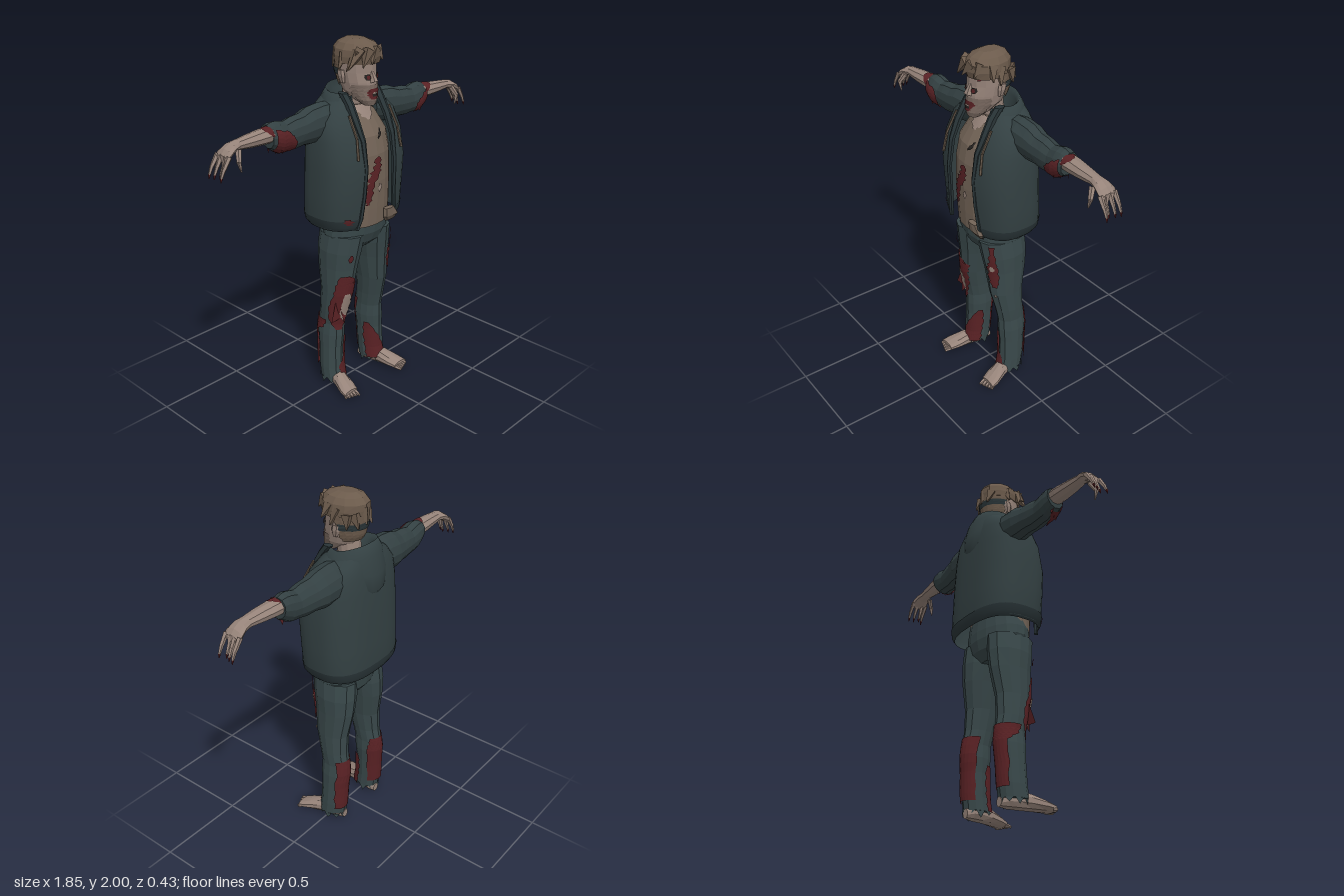
import * as THREE from 'three';

const mat = (name, color) => {
  const m = new THREE.MeshStandardMaterial({ color, side: THREE.DoubleSide });
  m.name = name;
  return m;
};

// Interpolates a list of cross-sections at position p
function sectionAt(secs, p) {
  for (let i = 0; i < secs.length - 1; i++) {
    const a = secs[i], b = secs[i + 1];
    if (p >= a[0] && p <= b[0]) {
      const k = (p - a[0]) / (b[0] - a[0]);
      return a.map((v, q) => v + (b[q] - v) * k);
    }
  }
  return p < secs[0][0] ? secs[0] : secs[secs.length - 1];
}

// Point on a section [position, centreU, centreV, radiusU, radiusV, exponent]
function pointAt([p, c, d, r, t, e = 1], a, axis, s, off = 0) {
  const pw = v => Math.sign(v) * Math.abs(v) ** e;
  const u = c + (r + off) * pw(Math.sin(a)), w = d + (t + off) * pw(Math.cos(a));
  if (axis === 'x') return [s * p, w, u];
  return axis === 'z' ? [s * u, w, p] : [s * u, p, w];
}

// Skins a grid of points
function grid(rows, closed, flip, flat) {
  const n = rows[0].length, idx = [];
  for (let i = 0; i < rows.length - 1; i++)
    for (let j = 0; j < (closed ? n : n - 1); j++) {
      const a = i * n + j, b = i * n + (j + 1) % n, c = b + n, d = a + n;
      idx.push(...(flip ? [a, c, b, a, d, c] : [a, b, c, a, c, d]));
    }
  let g = new THREE.BufferGeometry();
  g.setAttribute('position', new THREE.Float32BufferAttribute(rows.flat(2), 3));
  g.setIndex(idx);
  if (flat) g = g.toNonIndexed();
  g.computeVertexNormals();
  return g;
}

// Closed or front-opened (7th section value) body through cross-sections
function loft(secs, { axis = 'y', s = 1, n = 12, jitter = 0, flat = true, caps = true } = {}) {
  const open = secs[0].length > 6;
  const rows = secs.map((q, i) => {
    const a0 = open ? Math.asin((q[6] / q[3]) ** (1 / q[5])) : 0;
    return Array.from({ length: open ? n + 1 : n }, (_, j) =>
      pointAt(q, a0 + (2 * Math.PI - 2 * a0) * j / n, axis, s, jitter * Math.sin(i * 12.9 + j * 7.3)));
  });
  if (caps && !open) {
    const mid = q => Array.from({ length: n }, () => pointAt([q[0], q[1], q[2], 0, 0], 0, axis, s));
    rows.unshift(mid(secs[0]));
    rows.push(mid(secs[secs.length - 1]));
  }
  return grid(rows, !open, (axis === 'z') !== (s < 0), flat);
}

// Thin ragged patch following a loft; spans are [position, angle from, angle to]
function patch(secs, spans, { axis = 'y', s = 1, off = 0.007, ragged = 0.07 } = {}) {
  const rows = [], steps = (spans.length - 1) * 4;
  for (let i = 0; i <= steps; i++) {
    const [p, a0, a1] = sectionAt(spans, 0) && lerpSpan(spans, i / 4);
    const r = ragged * Math.sin(i * 2.3);
    rows.push(Array.from({ length: 9 }, (_, j) =>
      pointAt(sectionAt(secs, p), a0 + r + (a1 - a0 - r * 1.6) * j / 8, axis, s, off)));
  }
  return grid(rows, false, (axis === 'z') !== (s < 0), true);
}
function lerpSpan(spans, f) {
  const i = Math.min(Math.floor(f), spans.length - 2);
  return spans[i].map((v, q) => v + (spans[i + 1][q] - v) * (f - i));
}

// Tapered stick between two points
function stick(a, b, r0, r1, s = 1, sides = 5) {
  const A = new THREE.Vector3(s * a[0], a[1], a[2]), B = new THREE.Vector3(s * b[0], b[1], b[2]);
  const d = B.clone().sub(A), g = new THREE.CylinderGeometry(r1, r0, d.length(), sides).toNonIndexed();
  g.applyQuaternion(new THREE.Quaternion().setFromUnitVectors(new THREE.Vector3(0, 1, 0), d.normalize()));
  g.translate(...A.add(B).multiplyScalar(0.5).toArray());
  g.computeVertexNormals();
  return g;
}

export function createModel() {
  const model = new THREE.Group();
  model.name = 'raggedFigure';
  const skin = mat('skin', 0x97847a), hair = mat('hair', 0x6c5b4c), cloth = mat('jacketCloth', 0x334042),
    trim = mat('jacketTrim', 0x293437), denim = mat('denim', 0x39484a), blood = mat('blood', 0x592124),
    shirtM = mat('shirt', 0x736457), cord = mat('cord', 0x66584a), dark = mat('darkGap', 0x24211f),
    face = mat('stubble', 0x796960);
  const add = (name, geo, m) => {
    const mesh = new THREE.Mesh(geo, m);
    mesh.name = name;
    model.add(mesh);
  };
  const flap = (name, a, b, c, m) => add(name, grid([[a, b], [c, c]], false, false, true), m);

  // Shirt, neck and tears
  const shirt = [[1.0, 0, .015, .195, .145], [1.1, 0, .015, .2, .15], [1.25, 0, .015, .2, .155], [1.4, 0, .01, .2, .155],
    [1.5, 0, 0, .19, .145], [1.6, 0, -.02, .14, .105], [1.655, 0, -.02, .075, .075]];
  add('shirt', loft(shirt, { n: 20, jitter: .002 }), shirtM);
  add('neck', loft([[1.55, 0, -.02, .065, .07], [1.64, 0, -.015, .06, .065], [1.74, 0, .0, .06, .07]]), skin);
  add('neckline', patch(shirt, [[1.58, -.08, .08], [1.62, -.4, .4], [1.655, -.9, .9]]), skin);
  add('shirtStain', patch(shirt, [[1.13, -.42, -.3], [1.18, -.44, -.2], [1.24, -.4, -.15], [1.3, -.28, .06], [1.34, -.15, .1], [1.39, -.1, .08]]), blood);
  add('shirtTear', patch(shirt, [[1.48, .05, .09], [1.5, .1, .24], [1.53, .24, .28]], { ragged: .02 }), dark);
  add('shirtHole', patch(shirt, [[1.19, .02, .06], [1.22, -.02, .14], [1.24, .04, .08]], { ragged: .02 }), skin);
  add('shirtTail', loft([[.995, .11, .15, .03, .012], [1.03, .105, .168, .055, .018], [1.08, .085, .17, .035, .018]], { n: 8, jitter: .006 }), shirtM);

  // Jacket body, hem and zip edges
  const jacket = [[1.02, 0, -.015, .27, .185, .75, .15], [1.07, 0, -.015, .285, .195, .75, .13], [1.2, 0, -.008, .287, .198, .75, .115],
    [1.35, 0, 0, .287, .2, .75, .11], [1.5, 0, -.008, .278, .183, .75, .11], [1.6, 0, -.025, .255, .155, .75, .11],
    [1.66, 0, -.038, .2, .128, .75, .095], [1.71, 0, -.045, .13, .105, .75, .075]];
  add('jacketBody', loft(jacket, { n: 32, flat: false }), cloth);
  add('jacketHem', loft([[1.01, 0, -.015, .262, .182, .75, .15], [1.035, 0, -.015, .28, .196, .75, .14], [1.075, 0, -.015, .288, .199, .75, .13]], { n: 32, flat: false }), trim);
  add('jacketStain', patch(jacket, [[1.05, .55, .75], [1.085, .6, .8]], { s: -1 }), blood);
  for (const s of [1, -1]) {
    add('zipEdge', loft([[1.01, .145, .155, .012, .014], [1.07, .13, .168, .014, .014], [1.2, .115, .178, .014, .014], [1.35, .11, .186, .014, .014],
      [1.5, .112, .164, .018, .016], [1.6, .118, .118, .024, .02], [1.68, .115, .07, .026, .025], [1.73, .12, .03, .022, .03]], { s, n: 6 }), trim);
    add('drawstring', stick([.15, 1.63, .105], [.155, 1.52, .165], .007, .007, s), cord);
    add('drawstring', stick([.155, 1.52, .165], [.165, 1.41, .185], .007, .008, s), cord);
  }

  // Hood lying on the back: rows run from inner lining over the crest to the bottom fold
  const hoodRows = [[.10, .08, 1.62, 0], [.115, .095, 1.70, .01], [.14, .105, 1.725, .025], [.165, .135, 1.69, .0],
    [.18, .158, 1.66, -.07], [.165, .165, 1.63, -.13], [.13, .13, 1.62, -.165]].map(([rx, rz, y, dy]) =>
    Array.from({ length: 17 }, (_, j) => {
      const t = (j / 8 - 1) * 2.1, w = Math.max(0, Math.cos(t)) ** 1.3;
      return [rx * Math.sin(t), y + dy * w, -.04 - rz * Math.cos(t)];
    }));
  add('hood', grid(hoodRows, false, false, false), cloth);

  // Sleeves, forearms and hands
  const sleeve = [[.14, -.05, 1.595, .08, .085], [.22, -.05, 1.585, .088, .1], [.3, -.05, 1.578, .085, .098], [.36, -.045, 1.572, .078, .082],
    [.42, -.042, 1.568, .072, .082], [.47, -.04, 1.565, .066, .072], [.52, -.037, 1.573, .068, .078], [.55, -.037, 1.582, .064, .07], [.58, -.037, 1.588, .055, .056]];
  const arm = [[.54, -.035, 1.595, .046, .042], [.62, -.03, 1.597, .048, .041], [.7, -.025, 1.597, .043, .035], [.78, -.022, 1.597, .035, .026],
    [.82, -.02, 1.592, .045, .025], [.855, -.02, 1.572, .053, .024], [.875, -.02, 1.552, .048, .018]];
  for (const s of [1, -1]) {
    const o = { axis: 'x', s };
    add('sleeve', loft(sleeve, { ...o, n: 12, jitter: .005 }), cloth);
    add('forearm', loft(arm, { ...o, n: 9, jitter: .002 }), skin);
    add('cuffStain', patch(sleeve, s < 0 ? [[.44, 1.8, 2.4], [.48, 1.1, 2.8], [.565, .9, 3.3]] : [[.475, 1.7, 2.6], [.52, 1.3, 3.1], [.57, 1.0, 3.3]], o), blood);
    add('armStain', patch(arm, [[.575, -.8, 1.6], [.6, -.5, 1.2], [.625, .1, .6]], { ...o, off: .004 }), blood);
    for (let i = 0; i < 3; i++)
      flap('cuffTatter', [s * (.5 + i * .025), 1.535, .01 - i * .03], [s * (.54 + i * .02), 1.54, .02 - i * .03], [s * (.525 + i * .02), 1.495, .01 - i * .03], blood);
    for (let i = 0; i < 4; i++) {
      const z = -.063 + i * .029, k = .012 * Math.sin(i * 2 + 1);
      add('finger', stick([.862, 1.568, z], [.888 + k, 1.515, z], .014, .011, s), skin);
      add('finger', stick([.888 + k, 1.518, z], [.908 + k, 1.475, z], .011, .007, s), skin);
      add('fingertip', stick([.907 + k, 1.477, z], [.912 + k, 1.455, z], .0075, .002, s), blood);
    }
    add('thumb', stick([.8, 1.585, .015], [.822, 1.535, .043], .016, .012, s), skin);
    add('thumb', stick([.822, 1.538, .043], [.808, 1.485, .04], .012, .004, s), skin);
  }

  // Trousers
  add('trouserSeat', loft([[.84, 0, -.01, .09, .075], [.89, 0, -.003, .18, .125], [.95, 0, .003, .208, .143], [1.0, 0, .005, .206, .146], [1.07, 0, .0, .19, .135]], { n: 18, jitter: .003 }), denim);
  const leg = [[.05, .165, -.02, .066, .08], [.12, .165, -.03, .067, .078], [.25, .16, -.035, .067, .078], [.33, .155, -.037, .07, .085], [.4, .152, -.035, .065, .082],
    [.48, .15, -.02, .07, .083], [.6, .141, -.005, .077, .098], [.75, .126, -.01, .09, .12], [.85, .116, -.005, .102, .132], [.95, .105, .005, .1, .138]];
  for (const s of [1, -1]) {
    add('trouserLeg', loft(leg, { s, n: 12, jitter: .004 }), denim);
    add('shinStain', patch(leg, [[.045, -1.3, s > 0 ? .5 : -.1], [.12, -1.3, .3], [.2, -1.4, -.2], [.29, -1.3, -.9]], { s }), blood);
    add('calfStain', patch(leg, s > 0 ? [[.1, 2.2, 4.2], [.25, 2.1, 4.2], [.44, 2.2, 4.4]]
      : [[.1, 2.3, 4.2], [.34, 2.2, 4.3], [.38, 1.5, 4.2], [.43, 1.3, 4.0]], { s }), blood);
    // Ragged trouser ends
    for (let i = 0; i < 9; i++) {
      const P = a => pointAt(leg[0], a, 'y', s), a = i * .7, tip = P(a + .3);
      flap('hemTatter', P(a), P(a + .6), [tip[0], .02 + .012 * Math.sin(i * 3), tip[2]], denim);
    }
  }
  add('thighStain', patch(leg, [[.66, .25, .6], [.72, .1, .75], [.8, .15, .75], [.84, .35, .7], [.94, .55, .75]]), blood);
  add('thighHole', patch(leg, [[.775, .32, .5], [.79, .28, .62], [.81, .4, .5]], { off: .012, ragged: .03 }), skin);
  add('smallStain', patch(leg, [[.59, .3, .5], [.61, .35, .5]]), skin);
  add('kneeStain', patch(leg, [[.37, .1, .6], [.44, -.2, 1.2], [.52, -.5, 1.3], [.6, -.5, 1.1], [.66, -.6, 1.0], [.72, .2, .8]], { s: -1 }), blood);
  add('kneeHole', patch(leg, [[.43, -.05, .2], [.48, -.15, .5], [.55, -.2, .5], [.61, 0, .45]], { s: -1, off: .013, ragged: .05 }), skin);
  add('roundStain', patch(leg, [[.805, .3, .4], [.825, .2, .5], [.85, .3, .4]], { s: -1, ragged: 0 }), blood);
  flap('kneeTatter', [-.2, .58, .05], [-.18, .45, .06], [-.25, .445, .06], blood);
  flap('kneeTatter', [-.19, .52, .07], [-.14, .47, .07], [-.17, .42, .08], blood);

  // Bare feet
  const foot = [[-.1, .15, .032, .022, .026], [-.06, .155, .047, .04, .047], [0, .165, .052, .042, .052], [.06, .18, .045, .048, .045],
    [.13, .2, .031, .056, .031], [.175, .212, .021, .052, .021]];
  for (const s of [1, -1]) {
    add('foot', loft(foot, { axis: 'z', s, n: 10 }), skin);
    add('ankle', loft([[.05, .162, -.025, .044, .05], [.16, .162, -.03, .042, .05]], { s, n: 8 }), skin);
    for (let i = 0; i < 5; i++)
      add('toe', stick([.175 + i * .018, .016, .165], [.182 + i * .019, .011, .21 - i * .007], .014, .008, s), skin);
  }

  // Head and face
  const head = [[1.66, 0, .1, .032, .032], [1.69, 0, .07, .06, .07], [1.73, 0, .035, .08, .1], [1.78, 0, .02, .091, .113], [1.83, 0, .012, .097, .113],
    [1.88, 0, .01, .098, .116], [1.93, 0, .005, .095, .11], [1.97, 0, 0, .07, .08]];
  add('head', loft(head, { n: 14 }), skin);
  add('stubble', patch(head, [[1.665, -1.6, 1.6], [1.69, -1.4, 1.4], [1.73, -1.4, 1.4], [1.77, -1.3, 1.3]], { off: .003 }), face);
  add('mouth', patch(head, [[1.695, -.35, .2], [1.715, -.5, .35], [1.735, -.5, .55], [1.75, -.3, .35]], { off: .006 }), blood);
  add('mouthGap', patch(head, [[1.71, -.2, .2], [1.73, -.2, .2]], { off: .009, ragged: .02 }), dark);
  add('teeth', patch(head, [[1.725, -.17, .17], [1.733, -.15, .15]], { off: .011, ragged: .02 }), skin);
  add('browStain', patch(head, [[1.865, .5, .65], [1.88, .45, .8], [1.895, .55, .65]], { off: .005 }), blood);
  add('nose', stick([0, 1.84, .115], [0, 1.782, .137], .01, .022, 1, 5), skin);
  for (const s of [1, -1]) {
    add('eyeSocket', patch(head, [[1.795, .25, .45], [1.81, .18, .55], [1.825, .25, .5]], { s, off: .005, ragged: .02 }), dark);
    add('eye', patch(head, [[1.8, .25, .42], [1.82, .25, .42]], { s, off: .008, ragged: .02 }), blood);
    add('ear', loft([[1.775, .094, .005, .01, .015], [1.81, .1, 0, .013, .026], [1.84, .1, -.005, .012, .024]], { s, n: 6 }), skin);
  }

  // Hair: cap, back and loose tufts
  add('hairCap', loft([[1.875, 0, .012, .104, .124], [1.91, 0, .015, .108, .13], [1.945, 0, .015, .105, .128], [1.975, 0, .012, .085, .1], [1.995, 0, .005, .045, .055]], { n: 12, jitter: .006 }), hair);
  add('hairBack', patch(head, [[1.75, 2.1, 4.2], [1.8, 1.8, 4.5], [1.89, 1.5, 4.8]], { off: .009 }), hair);
  add('shavedBand', patch(head, [[1.815, 1.8, 4.5], [1.85, 1.75, 4.55]], { off: .014 }), trim);
  for (const [x0, y0, z0, x1, y1, z1] of [[-.06, 1.95, .1, -.138, 1.86, .09], [-.07, 1.94, .09, -.125, 1.845, .06], [-.03, 1.95, .12, -.085, 1.87, .14],
    [.02, 1.95, .12, -.03, 1.88, .15], [.05, 1.95, .1, .06, 1.89, .14], [.08, 1.93, .05, .125, 1.87, .07], [.08, 1.92, 0, .12, 1.84, .02],
    [-.08, 1.92, 0, -.118, 1.85, 0], [.05, 1.9, -.08, .06, 1.83, -.115], [-.05, 1.9, -.08, -.05, 1.83, -.115], [0, 1.92, -.09, 0, 1.84, -.12], [.08, 1.9, -.06, .1, 1.83, -.07]])
    add('hairTuft', stick([x0, y0, z0], [x1, y1, z1], .034, .003, 1, 4), hair);
  return model;
}
